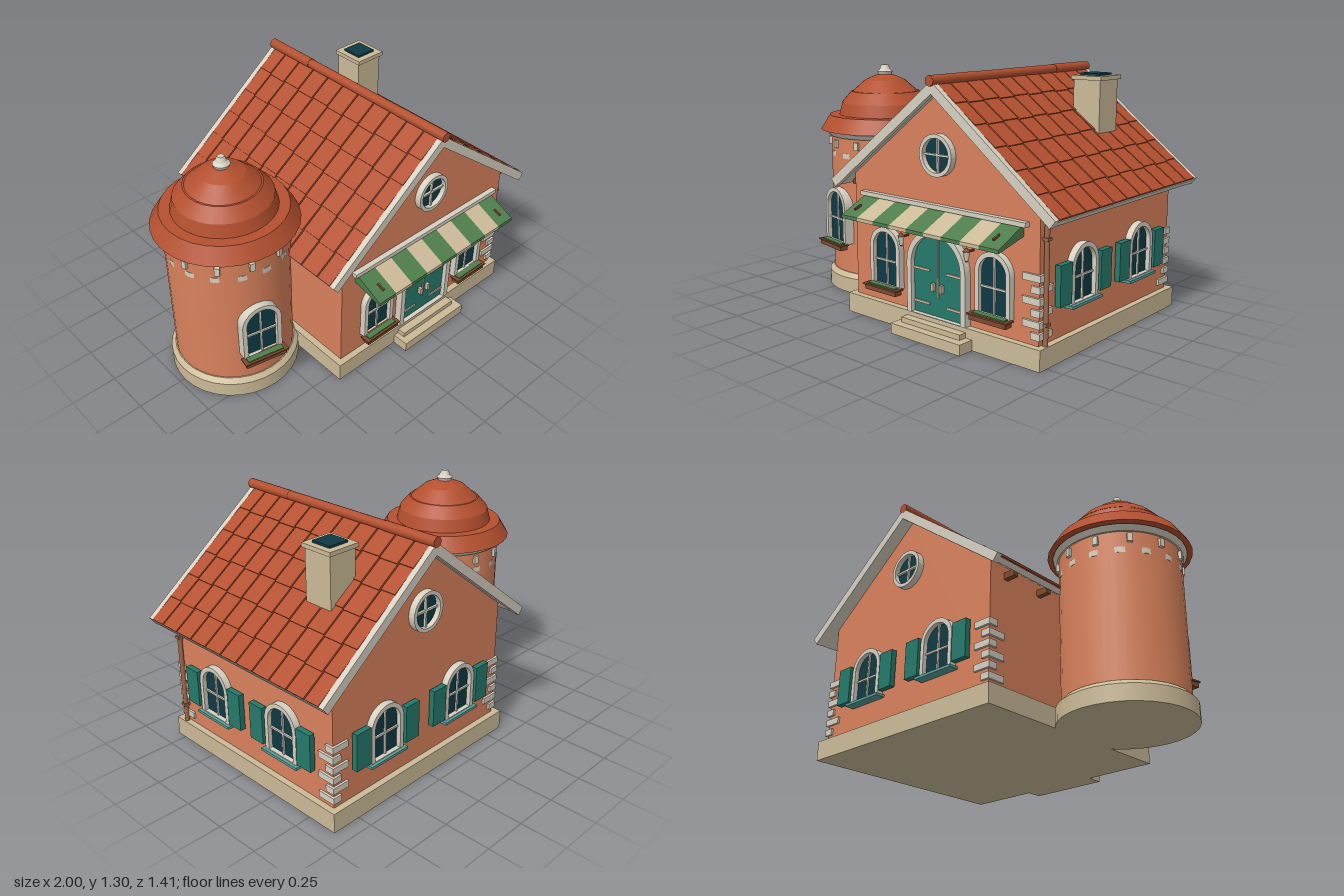
import * as THREE from 'three';

const mat = (name, color) => {
  const m = new THREE.MeshStandardMaterial({ color });
  m.name = name;
  return m;
};

export function createModel() {
  const wall = mat('terracotta plaster', 0xd9825c), roof = mat('red tile', 0xb4502f);
  const trim = mat('pale trim', 0xd6d0c2), stone = mat('sandstone', 0xcbba97);
  const teal = mat('teal paint', 0x25796b), glass = mat('dark glass', 0x0f3a44);
  const brown = mat('brown wood', 0x7d4a2d), green = mat('awning green', 0x4f7d4c);
  const sillBlue = mat('sill blue', 0x559c98), copper = mat('copper pipe', 0xa0694a);

  const model = new THREE.Group();
  const add = (parent, name, geo, material, x = 0, y = 0, z = 0) => {
    const m = new THREE.Mesh(geo, material);
    m.name = name;
    m.position.set(x, y, z);
    parent.add(m);
    return m;
  };
  // box given by its min and max corners
  const box = (p, name, material, x0, x1, y0, y1, z0, z1) =>
    add(p, name, new THREE.BoxGeometry(x1 - x0, y1 - y0, z1 - z0), material, (x0 + x1) / 2, (y0 + y1) / 2, (z0 + z1) / 2);
  const tier = (p, name, material, rBottom, rTop, y0, y1, sides = 28) =>
    add(p, name, new THREE.CylinderGeometry(rTop, rBottom, y1 - y0, sides), material, 0, (y0 + y1) / 2, 0);
  const extrude = (shape, depth) => new THREE.ExtrudeGeometry(shape, { depth, bevelEnabled: false, curveSegments: 14 });
  const group = (name, x, y, z, rotY = 0, parent = model) => {
    const g = new THREE.Group();
    g.name = name;
    g.position.set(x, y, z);
    g.rotation.y = rotY;
    parent.add(g);
    return g;
  };

  const arch = (w, h, y0 = 0, Type = THREE.Shape) => {
    const r = w / 2, s = new Type();
    s.moveTo(-r, y0);
    s.lineTo(r, y0);
    s.lineTo(r, h - r);
    s.absarc(0, h - r, r, 0, Math.PI, false);
    s.lineTo(-r, y0);
    return s;
  };
  const archFrame = (p, w, h, t, back, front) => {
    const s = arch(w, h);
    s.holes.push(arch(w - 2 * t, h - t, 0.004, THREE.Path));
    add(p, 'archFrame', extrude(s, front - back), trim, 0, 0, back);
  };

  // arched window, origin at its bottom centre on the wall
  function archWindow(name, x, y, z, rotY, w, h, style, back = -0.01) {
    const g = group(name, x, y, z, rotY), r = w / 2;
    archFrame(g, w, h, 0.024, back, 0.035);
    add(g, 'pane', extrude(arch(w - 0.046, h - 0.023), 0.008), glass, 0, 0, 0.003);
    box(g, 'mullion', trim, -0.005, 0.005, 0, h - 0.024, 0.008, 0.02);
    box(g, 'transom', trim, -r + 0.02, r - 0.02, h * 0.41, h * 0.41 + 0.01, 0.008, 0.02);
    if (style === 'planter') {
      box(g, 'planter', brown, -r - 0.005, r + 0.005, -0.028, 0, 0.025, 0.072);
      box(g, 'planterRim', brown, -r - 0.014, r + 0.014, -0.004, 0.004, 0.02, 0.078);
      box(g, 'plants', green, -r + 0.008, r - 0.008, 0, 0.01, 0.032, 0.066);
    } else {
      box(g, 'sill', sillBlue, -r - 0.015, r + 0.015, -0.014, 0, 0, 0.052);
      for (const s of [-1, 1]) {
        const c = s * (r + 0.058);
        box(g, 'shutter', teal, c - 0.047, c + 0.047, 0.015, 0.215, 0.012, 0.042);
      }
    }
  }

  function roundWindow(x, y, z, rotY) {
    const g = group('roundWindow', x, y, z, rotY);
    const s = new THREE.Shape().absarc(0, 0, 0.104, 0, Math.PI * 2, false);
    s.holes.push(new THREE.Path().absarc(0, 0, 0.084, 0, Math.PI * 2, true));
    add(g, 'ring', extrude(s, 0.035), trim);
    add(g, 'pane', new THREE.CircleGeometry(0.088, 28), glass, 0, 0, 0.008);
    box(g, 'mullion', trim, -0.005, 0.005, -0.086, 0.086, 0.006, 0.02);
    box(g, 'transom', trim, -0.086, 0.086, -0.005, 0.005, 0.006, 0.02);
  }

  // house body
  const CX = 0.28, ZF = 0.52, ZB = -0.635, XR = 0.877, XL = -0.323;
  box(model, 'foundation', stone, -0.36, 0.91, 0, 0.105, -0.67, 0.555);
  box(model, 'lowerStep', stone, 0.05, 0.51, 0, 0.055, 0.5, 0.645);
  box(model, 'upperStep', stone, 0.08, 0.47, 0.05, 0.082, 0.5, 0.6);
  const gable = new THREE.Shape([[XL, 0.1], [XR, 0.1], [XR, 0.765], [CX, 1.235], [XL, 0.765]].map(p => new THREE.Vector2(...p)));
  add(model, 'houseWalls', extrude(gable, ZF - ZB), wall, 0, 0, ZB);

  // corner stones, alternately long and short
  for (const [x, z, sx, sz] of [[XR, ZF, 1, 1], [XR, ZB, 1, -1], [XL, ZB, -1, -1]]) {
    for (let i = 0; i < 6; i++) {
      const a = i % 2 ? 0.1 : 0.052, b = 0.152 - a, y = 0.135 + i * 0.055;
      const g = group('cornerStone', x, y, z);
      g.scale.set(1, 1, 1);
      const w = a, d = b;
      add(g, 'stone', new THREE.BoxGeometry(w, 0.034, d), trim, sx * (0.012 - w / 2), 0.017, sz * (0.012 - d / 2));
    }
  }

  // roof halves with tile courses
  const L = 0.9, HZ = 0.62;
  for (const side of [0, 1]) {
    const half = group(side ? 'leftRoof' : 'rightRoof', CX, 1.26, -0.0625, side * Math.PI);
    const slope = group('slope', 0, 0, 0, 0, half);
    slope.rotation.z = -0.656;
    box(slope, 'roofDeck', trim, 0, L, -0.03, 0, -HZ, HZ);
    for (const s of [-1, 1]) box(slope, 'bargeBoard', trim, -0.012, L, -0.036, 0.012, s * 0.632 - 0.015, s * 0.632 + 0.015);
    const pitch = 2 * HZ / 10.6;
    for (let c = 0; c < 11; c++) {
      const z0 = Math.max(-HZ, -HZ + (c - 0.2) * pitch) + 0.004;
      const z1 = Math.min(HZ, -HZ + (c + 0.8) * pitch) - 0.004;
      for (let r = 0; r < 6; r++) {
        const shift = r < 5 ? (c % 2) * 0.006 : 0;
        const t = box(slope, 'roofTile', roof, r * 0.15 - 0.004, (r + 1) * 0.15 - 0.002 + shift, 0.001, 0.012, z0, z1);
        t.rotation.z = 0.04;
      }
    }
    for (const z of [0.465, 0.2, -0.055, -0.29, -0.53]) {
      const lz = (z + 0.0625) * (side ? -1 : 1);
      box(half, 'rafterEnd', brown, 0.58, 0.67, 0.685 - 1.26, 0.72 - 1.26, lz - 0.014, lz + 0.014);
    }
  }
  for (const [z0, z1, r] of [[-0.71, -0.39, 0.027], [-0.39, 0.28, 0.025], [0.28, 0.595, 0.026]]) {
    const m = add(model, 'ridgeCap', new THREE.CylinderGeometry(r, r, z1 - z0, 14), roof, CX, 1.277, (z0 + z1) / 2);
    m.rotation.x = Math.PI / 2;
  }

  // chimney
  box(model, 'chimney', stone, 0.51, 0.67, 0.9, 1.245, -0.42, -0.255);
  box(model, 'chimneyCap', stone, 0.5, 0.682, 1.243, 1.265, -0.432, -0.244);
  box(model, 'chimneyFlue', glass, 0.532, 0.648, 1.25, 1.276, -0.395, -0.28);

  // windows
  for (const x of [-0.08, 0.63]) archWindow('frontWindow', x, 0.2, ZF, 0, 0.21, 0.31, 'planter');
  for (const z of [0.2, -0.31]) archWindow('sideWindow', XR, 0.255, z, Math.PI / 2, 0.222, 0.282, 'shutters');
  for (const x of [0.01, 0.55]) archWindow('backWindow', x, 0.255, ZB, Math.PI, 0.222, 0.282, 'shutters');
  roundWindow(0.277, 0.92, ZF, 0);
  roundWindow(0.277, 0.92, ZB, Math.PI);

  // double door
  const door = group('door', 0.277, 0.105, ZF);
  archFrame(door, 0.385, 0.45, 0.03, -0.01, 0.04);
  add(door, 'doorLeaves', extrude(arch(0.328, 0.421), 0.015), teal);
  box(door, 'doorSeam', stone, -0.004, 0.004, 0.1, 0.395, 0.012, 0.021);
  for (const s of [-1, 1]) {
    const bar = (name, a, b, y0, y1, z1) => box(door, name, stone, Math.min(s * a, s * b), Math.max(s * a, s * b), y0, y1, 0.012, z1);
    bar('lowerHinge', 0.055, 0.16, 0.056, 0.068, 0.022);
    bar('upperHinge', 0.055, 0.16, 0.228, 0.24, 0.022);
    bar('handle', 0.02, 0.036, 0.135, 0.175, 0.035);
  }

  // wall lanterns
  for (const x of [0.06, 0.49]) {
    const g = group('lantern', x, 0, 0.572);
    tier(g, 'lanternBody', trim, 0.011, 0.017, 0.45, 0.492, 6);
    tier(g, 'lanternTop', brown, 0.02, 0.004, 0.492, 0.51, 6);
    tier(g, 'lanternFoot', brown, 0.005, 0.009, 0.44, 0.45, 6);
    box(g, 'lanternArm', brown, -0.005, 0.005, 0.485, 0.494, -0.055, 0);
  }

  // striped awning
  const profile = new THREE.Shape([[-0.52, 0.605], [-0.52, 0.662], [-0.7, 0.58], [-0.7, 0.562]].map(p => new THREE.Vector2(...p)));
  const stripe = 1.02 / 9;
  for (let i = 0; i < 9; i++) {
    const m = add(model, 'awningStripe', extrude(profile, stripe), i % 2 ? stone : green, -0.235 + i * stripe, 0, 0);
    m.rotation.y = Math.PI / 2;
  }
  box(model, 'awningRail', trim, -0.255, 0.815, 0.655, 0.678, 0.51, 0.55);
  for (const x of [-0.175, 0.725]) {
    const arm = box(model, 'awningArm', brown, x - 0.005, x + 0.005, 0.612, 0.622, 0.62, 0.665);
    arm.rotation.x = 0.35;
  }

  // drain pipes
  add(model, 'drainPipe', new THREE.CylinderGeometry(0.013, 0.013, 0.6, 10), copper, 0.893, 0.405, 0.49);
  for (const y of [0.2, 0.6]) box(model, 'pipeClip', copper, 0.87, 0.91, y, y + 0.014, 0.474, 0.506);

  // round tower
  const tower = group('tower', -0.627, 0, 0);
  tier(tower, 'towerFoot', stone, 0.345, 0.345, 0, 0.085, 32);
  tier(tower, 'towerFootSlope', stone, 0.345, 0.322, 0.085, 0.11, 32);
  tier(tower, 'towerWall', wall, 0.316, 0.316, 0.1, 0.9, 40);
  tier(tower, 'towerBand', trim, 0.3195, 0.3195, 0.77, 0.8, 15);
  tier(tower, 'towerCornice', trim, 0.325, 0.345, 0.885, 0.912, 32);
  for (let i = 0; i < 12; i++) {
    const a = (i + 0.5) / 12 * Math.PI * 2;
    const b = add(tower, 'corbel', new THREE.BoxGeometry(0.026, 0.045, 0.03), trim, Math.sin(a) * 0.316, 0.847, Math.cos(a) * 0.316);
    b.rotation.y = a;
  }
  for (const [r0, r1, y0, y1] of [[0.373, 0.322, 0.918, 1.0], [0.268, 0.248, 0.995, 1.07], [0.25, 0.195, 1.07, 1.132],
    [0.186, 0.115, 1.132, 1.195], [0.115, 0.045, 1.195, 1.225]]) tier(tower, 'towerRoofTier', roof, r0, r1, y0, y1);
  tier(tower, 'finialBase', trim, 0.034, 0.045, 1.215, 1.242, 10);
  tier(tower, 'finialNeck', trim, 0.045, 0.025, 1.242, 1.258, 10);
  tier(tower, 'finialTip', trim, 0.03, 0.018, 1.258, 1.282, 8);
  archWindow('towerWindow', -0.69, 0.285, 0.312, -0.2, 0.215, 0.315, 'planter', -0.03);

  return model;
}
